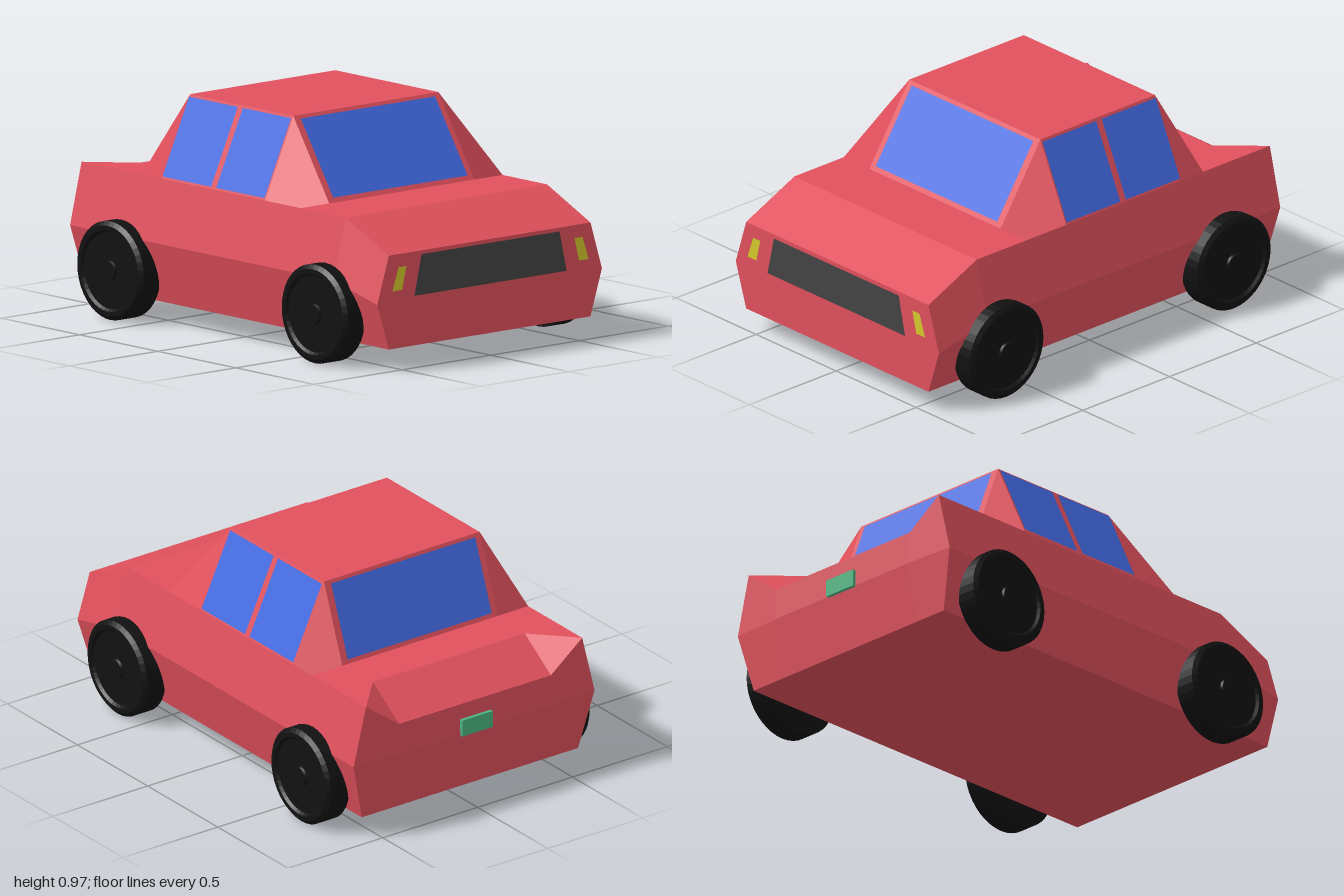
import * as THREE from 'three';

const paint = (color) => new THREE.MeshStandardMaterial({ color });
const RED = paint(0xe0505c), BLUE = paint(0x4169e1), BLACK = paint(0x111111);
const GREY = paint(0x444444), YELLOW = paint(0xd4c82c), GREEN = paint(0x4cb582);
const CENTRE = new THREE.Vector3(0, 0.4, 0);

// Flat-shaded mesh from polygons; each one is turned to face away from the middle.
function panels(name, material, polygons) {
  const pos = [], nor = [];
  for (const poly of polygons) {
    let p = poly.map((c) => new THREE.Vector3(...c));
    const n = new THREE.Vector3(), mid = new THREE.Vector3();
    p.forEach((a, i) => {
      n.add(a.clone().sub(p[0]).cross(p[(i + 1) % p.length].clone().sub(p[0])));
      mid.addScaledVector(a, 1 / p.length);
    });
    n.normalize();
    if (n.dot(mid.sub(CENTRE)) < 0) {
      n.negate();
      p = [p[0], ...p.slice(1).reverse()];
    }
    for (let i = 1; i < p.length - 1; i++) {
      for (const v of [p[0], p[i], p[i + 1]]) {
        pos.push(v.x, v.y, v.z);
        nor.push(n.x, n.y, n.z);
      }
    }
  }
  const g = new THREE.BufferGeometry();
  g.setAttribute('position', new THREE.Float32BufferAttribute(pos, 3));
  g.setAttribute('normal', new THREE.Float32BufferAttribute(nor, 3));
  const mesh = new THREE.Mesh(g, material);
  mesh.name = name;
  return mesh;
}

const flip = (poly) => poly.map(([x, y, z]) => [-x, y, z]);
const both = (polys) => polys.flatMap((p) => [p, flip(p)]);
// Polygon spanning the car's width from a half outline
const across = (half) => [...half, ...flip(half).reverse()];

function lowerBody() {
  // Side sections from nose to tail: bottom, waist and shoulder points
  const section = (z, waist, top, zBottom = z) =>
    [[0.57, 0.1, zBottom], [0.635, waist, z], [0.57, top, z]];
  const s = [section(0.993, 0.3, 0.505), section(0.715, 0.365, 0.63), section(-0.975, 0.365, 0.63, -0.945)];
  const sides = [];
  for (let i = 0; i < 2; i++) {
    for (let j = 0; j < 2; j++) sides.push([s[i][j], s[i][j + 1], s[i + 1][j + 1], s[i + 1][j]]);
  }
  // Tail with a boot lid sloping down between raised corners
  const [tailLow, tailWaist, tailTop] = s[2];
  const lidFront = [0.4, 0.63, -0.795], lidRear = [0.4, 0.505, -0.982];
  const midWaist = [0.4, 0.365, -0.985], midLow = [0.4, 0.1, -0.945];
  const deck = [0.57, 0.63, -0.59], deckIn = [0.4, 0.63, -0.59];
  return panels('lowerBody', RED, [
    ...both([
      ...sides,
      [tailTop, lidRear, lidFront],
      [deck, tailTop, lidFront, deckIn],
      [tailTop, tailWaist, midWaist, lidRear],
      [tailWaist, tailLow, midLow, midWaist],
    ]),
    across([deckIn, lidFront]),
    across([lidFront, lidRear]),
    across([lidRear, midWaist]),
    across([midWaist, midLow]),
    across(s[0]),
    across([s[0][2], s[1][2]]),
    across([s[1][2], [0.57, 0.63, 0.43]]),
    across([s[0][0], tailLow]),
  ]);
}

function cabin() {
  const roofF = [0.41, 0.975, 0.2], roofR = [0.41, 0.975, -0.46];
  // Corner pillar patch between the end panel and the side
  const pillar = (r, zBase) =>
    [r, [0.57, 0.63, r[2]], [0.57, 0.63, zBase], [0.41, 0.63, zBase]];
  return panels('cabin', RED, [
    ...both([
      [roofF, roofR, [0.57, 0.63, -0.46], [0.57, 0.63, 0.2]],
      pillar(roofF, 0.43),
      pillar(roofR, -0.59),
    ]),
    across([roofF, roofR]),
    across([roofF, [0.41, 0.63, 0.43]]),
    across([roofR, [0.41, 0.63, -0.59]]),
  ]);
}

function addWindows(car) {
  const gap = 0.005;
  const at = (y, low, high) => low + ((high - low) * (y - 0.63)) / 0.345;
  const endPane = (low, high, out) => across([0.65, 0.962].map((y) => [0.38, y, at(y, low, high) + out]));
  car.add(panels('windscreen', BLUE, [endPane(0.43, 0.2, gap)]));
  car.add(panels('rearWindow', BLUE, [endPane(-0.59, -0.46, -gap)]));
  const sidePane = (z0, z1) => {
    const [a, b] = [0.64, 0.966].map((y) => [at(y, 0.57, 0.41) + gap, y]);
    return [[...a, z0], [...b, z0], [...b, z1], [...a, z1]];
  };
  car.add(panels('frontSideWindows', BLUE, both([sidePane(0.197, -0.113)])));
  car.add(panels('rearSideWindows', BLUE, both([sidePane(-0.145, -0.457)])));
}

function addWheels(car) {
  // Tyre profile (radius, width) with a shallow dished face and a small hub
  const profile = [[0, 0], [0.213, 0], [0.213, 0.095], [0.195, 0.11], [0.175, 0.11],
    [0.165, 0.098], [0.045, 0.098], [0.04, 0.108], [0, 0.108]];
  const pts = profile.map(([r, h]) => new THREE.Vector2(r, h));
  const geo = new THREE.LatheGeometry(pts, 40).toNonIndexed();
  geo.computeVertexNormals();
  geo.rotateZ(-Math.PI / 2);
  for (const [end, z] of [['front', 0.645], ['rear', -0.665]]) {
    for (const side of [1, -1]) {
      const wheel = new THREE.Mesh(geo, BLACK);
      wheel.name = end + (side > 0 ? 'Left' : 'Right') + 'Wheel';
      wheel.position.set(side * 0.585, 0.218, z);
      if (side < 0) wheel.rotation.y = Math.PI;
      car.add(wheel);
    }
  }
}

export function createModel() {
  const car = new THREE.Group();
  car.name = 'car';
  car.add(lowerBody(), cabin());
  addWindows(car);
  addWheels(car);

  // Nose and tail fittings
  const z = 0.999;
  car.add(panels('grille', GREY, [across([[0.43, 0.315, z], [0.39, 0.49, z]])]));
  car.add(panels('headlights', YELLOW, both([
    [[0.5, 0.35, z], [0.555, 0.35, z], [0.52, 0.45, z], [0.475, 0.45, z]],
  ])));
  const plate = new THREE.Mesh(new THREE.BoxGeometry(0.16, 0.075, 0.02), GREEN);
  plate.name = 'rearPlate';
  plate.position.set(0, 0.398, -0.99);
  car.add(plate);
  return car;
}
